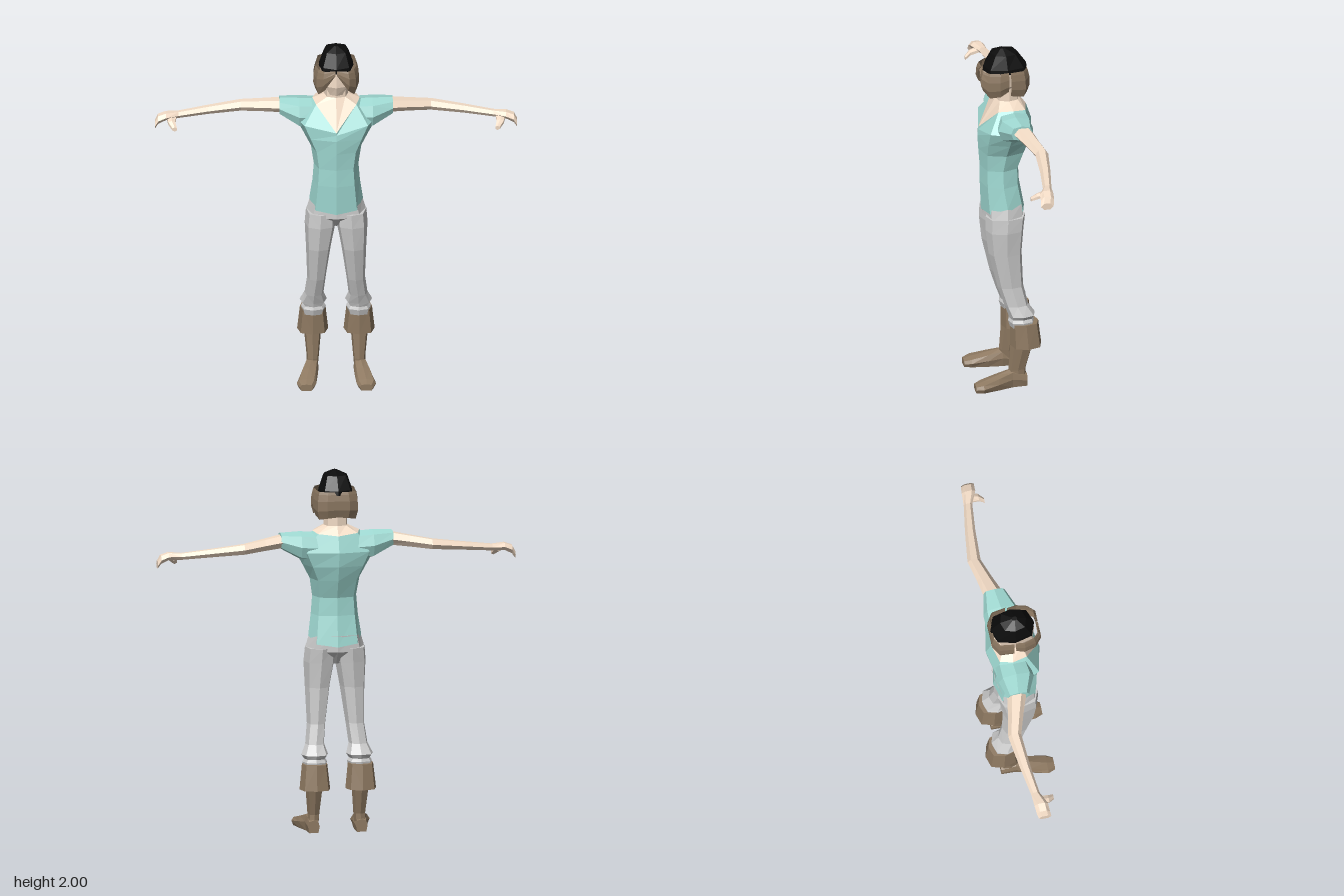
import * as THREE from 'three';

const material = (color) => new THREE.MeshStandardMaterial({ color, flatShading: true, side: THREE.DoubleSide });
const V = (x, y, z) => new THREE.Vector3(x, y, z);

// Rounded ring of n points filling a box across the given axis.
// Ranges: axis y -> (x, z), axis x -> (z, y), axis z -> (y, x)
function ring(axis, [t, a0, a1, b0, b1], n = 8, p = 0.75) {
  const soft = (v) => (Math.abs(v) < 1e-6 ? 0 : Math.sign(v) * Math.abs(v) ** p);
  return Array.from({ length: n }, (_, i) => {
    const ang = (i / n) * Math.PI * 2;
    const a = (a0 + a1) / 2 + (soft(Math.cos(ang)) * (a1 - a0)) / 2;
    const b = (b0 + b1) / 2 + (soft(Math.sin(ang)) * (b1 - b0)) / 2;
    return axis === 'y' ? V(a, t, b) : axis === 'x' ? V(t, b, a) : V(b, a, t);
  });
}

// Skin over successive rows of points, optionally closed round and capped
function loft(rows, { closed = true, caps = true } = {}) {
  const n = rows[0].length, index = [];
  const points = rows.flat();
  const last = (rows.length - 1) * n;
  for (let j = 0; j < rows.length - 1; j++) {
    for (let i = 0; i < (closed ? n : n - 1); i++) {
      const a = j * n + i, b = j * n + ((i + 1) % n);
      index.push(a, a + n, b, b, a + n, b + n);
    }
  }
  if (closed && caps) {
    const middle = (row) => row.reduce((s, q) => s.add(q), V(0, 0, 0)).divideScalar(n);
    const c = points.length;
    points.push(middle(rows[0]), middle(rows[rows.length - 1]));
    for (let i = 0; i < n; i++) {
      const k = (i + 1) % n;
      index.push(c, i, k, c + 1, last + k, last + i);
    }
  }
  const geo = new THREE.BufferGeometry().setFromPoints(points);
  geo.setIndex(index);
  geo.computeVertexNormals();
  return geo;
}

const loftAlong = (axis, rows, n, p) => loft(rows.map((r) => ring(axis, r, n, p)));
// Symmetric body sections: [y, half width, back z, front z]
const section = ([y, w, zb, zf]) => ring('y', [y, -w, w, zb, zf]);

// Mirrored copy with its face order turned round again
function mirrored(geo) {
  const copy = geo.clone().scale(-1, 1, 1);
  const ix = copy.index.array;
  for (let i = 0; i < ix.length; i += 3) [ix[i], ix[i + 1]] = [ix[i + 1], ix[i]];
  copy.computeVertexNormals();
  return copy;
}

export function createModel() {
  const model = new THREE.Group();
  model.name = 'figure';
  const skin = material(0xf3dcc6), cloth = material(0xa0dad3), grey = material(0xcccccc);
  const leather = material(0x8f7a62), hairBrown = material(0x8a7660), black = material(0x0b0b0b);

  const add = (name, geo, mat) => {
    const mesh = new THREE.Mesh(geo, mat);
    mesh.name = name;
    model.add(mesh);
  };
  const addPair = (name, geo, mat) => {
    add('left' + name, geo, mat);
    add('right' + name, mirrored(geo), mat);
  };

  // Shirt body: hem dips front and back, V neckline at the top
  const shirt = [
    [1.08, 0.147, -0.115, 0.125], [1.2, 0.13, -0.085, 0.132], [1.3, 0.122, -0.082, 0.132],
    [1.4, 0.138, -0.12, 0.14], [1.48, 0.18, -0.145, 0.145], [1.56, 0.225, -0.155, 0.14],
  ].map(section);
  shirt[0].forEach((q, i) => { if (i % 4) q.y -= i % 2 ? 0.035 : 0.05; });
  shirt[5][2].y = 1.515;
  const half = [V(0.13, 1.67, -0.03), V(0.11, 1.662, 0.05), V(0, 1.53, 0.14), V(0, 1.65, -0.125), V(0.11, 1.662, -0.1)];
  const flip = (q) => V(-q.x, q.y, q.z);
  const neckline = [half[0], half[1], half[2], flip(half[1]), flip(half[0]), flip(half[4]), half[3], half[4]];
  add('shirt', loft([...shirt, neckline], { caps: false }), cloth);

  // Short sleeves
  addPair('Sleeve', loftAlong('x', [
    [0.09, -0.125, 0.055, 1.51, 1.66], [0.2, -0.125, 0.07, 1.515, 1.668], [0.31, -0.1, 0.02, 1.578, 1.665],
  ]), cloth);

  // Chest showing in the neckline, and neck
  add('neck', loft([neckline, section([1.7, 0.065, -0.085, 0.045]), section([1.78, 0.065, -0.085, 0.045])], { caps: false }), skin);

  // Head
  add('head', loft([
    [1.735, 0.045, -0.05, 0.095], [1.79, 0.078, -0.1, 0.115], [1.88, 0.09, -0.115, 0.11], [1.93, 0.06, -0.08, 0.08],
  ].map(section)), skin);

  // Cap
  add('cap', loft([
    [1.875, 0.095, -0.13, 0.115], [1.9, 0.092, -0.127, 0.113], [1.975, 0.066, -0.075, 0.07], [2, 0.012, -0.01, 0.02],
  ].map(section)), black);

  // Hair: locks hang from the cap, bulging out and curling in at the tips
  const lock = (strands) => loft([[1, 0.92], [0.9, 0.96], [0.65, 1.02], [0.3, 1.03], [0, 0.93]].map(([k, s]) =>
    strands.map(([x, z, low]) => V(x * s, low + (1.895 - low) * k, z * s))), { closed: false });
  addPair('FrontHair', lock([
    [0.115, -0.01, 1.78], [0.122, 0.04, 1.755], [0.105, 0.1, 1.745], [0.07, 0.135, 1.78], [0.004, 0.132, 1.87],
  ]), hairBrown);
  addPair('BackHair', lock([[0, -0.13, 1.755], [0.06, -0.13, 1.75], [0.108, -0.1, 1.74], [0.12, -0.02, 1.755]]), hairBrown);

  // Arms with mitten hands and thumbs
  addPair('Arm', loftAlong('x', [
    [0.28, -0.098, 0.015, 1.582, 1.662], [0.4, -0.118, -0.03, 1.572, 1.642], [0.52, -0.143, -0.07, 1.56, 1.622],
    [0.7, -0.118, -0.06, 1.548, 1.597], [0.86, -0.09, -0.042, 1.535, 1.575],
    [0.93, -0.086, -0.01, 1.533, 1.578], [0.972, -0.082, -0.008, 1.512, 1.564], [0.99, -0.075, -0.005, 1.487, 1.53],
  ], 6, 1), skin);
  addPair('Thumb', loftAlong('z', [
    [-0.05, 1.53, 1.56, 0.87, 0.93], [0, 1.513, 1.545, 0.875, 0.92], [0.03, 1.495, 1.52, 0.868, 0.897],
  ], 6, 1), skin);

  // Trousers: hips, then legs gathered in folds below the knee
  add('hips', loft([
    [0.93, 0.04, -0.05, 0.05], [1, 0.168, -0.105, 0.118], [1.09, 0.142, -0.105, 0.115],
  ].map(section)), grey);
  addPair('TrouserLeg', loftAlong('y', [
    [0.36, 0.065, 0.185, -0.14, -0.01], [0.395, 0.055, 0.192, -0.145, 0], [0.412, 0.066, 0.182, -0.138, -0.006],
    [0.435, 0.05, 0.198, -0.15, 0], [0.49, 0.068, 0.172, -0.112, 0.02], [0.6, 0.056, 0.158, -0.088, 0.055],
    [0.8, 0.028, 0.165, -0.082, 0.102], [0.94, 0.002, 0.172, -0.095, 0.118], [1.02, 0, 0.165, -0.105, 0.116],
  ]), grey);

  // Boots: flared cuff, shaft and flat-soled foot
  addPair('BootCuff', loftAlong('y', [[0.245, 0.042, 0.212, -0.185, -0.012], [0.385, 0.057, 0.197, -0.168, -0.01]]), leather);
  addPair('BootShaft', loftAlong('y', [
    [0.03, 0.1, 0.162, -0.1, -0.005], [0.1, 0.094, 0.16, -0.098, -0.002], [0.28, 0.078, 0.178, -0.148, -0.015],
  ]), leather);
  const foot = [
    [-0.102, 0, 0.07, 0.1, 0.165], [-0.02, 0, 0.1, 0.095, 0.17], [0.06, 0, 0.078, 0.1, 0.195],
    [0.15, 0, 0.052, 0.11, 0.217], [0.19, 0, 0.038, 0.128, 0.2],
  ].map((r) => ring('z', r));
  foot.forEach((r) => r.forEach((q, i) => { if (i > 2 && i < 6) q.y = 0; }));
  addPair('Foot', loft(foot), leather);

  return model;
}
